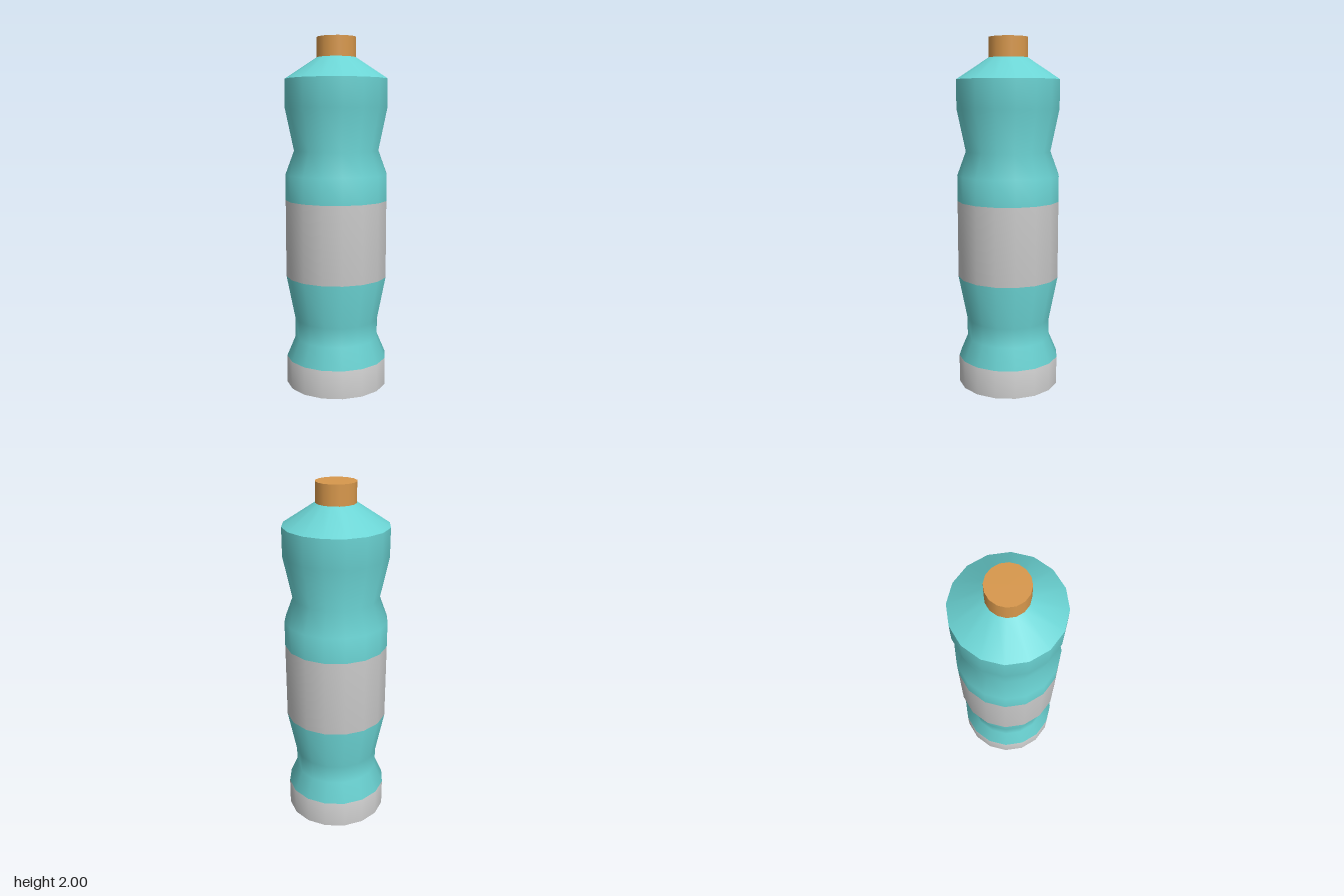
import * as THREE from 'three';

const SIDES = 16;
const R = 0.293;
const WAIST = 0.243;

const material = (color) => new THREE.MeshStandardMaterial({ color });
const lathe = (points) =>
  new THREE.LatheGeometry(points.map(([r, y]) => new THREE.Vector2(r, y)), SIDES);

// Keep only the rows from..to of a lathe, so bands share smooth normals
function sliceLathe(geometry, rows, from, to) {
  const band = geometry.clone();
  const index = Array.from(geometry.index.array);
  band.setIndex(index.filter((_, i) => {
    const row = Math.floor(i / 6) % rows;
    return row >= from && row < to;
  }));
  return band.toNonIndexed();
}

export function createModel() {
  const group = new THREE.Group();
  const teal = material(0x6bd4d4);
  const grey = material(0xcccccc);
  const orange = material(0xd8984c);

  const add = (name, geometry, mat) => {
    const mesh = new THREE.Mesh(geometry, mat);
    mesh.name = name;
    group.add(mesh);
    return mesh;
  };

  // Outer wall with two pinched waists
  const profile = [
    [R, 0], [R, 0.162], [WAIST, 0.28], [WAIST, 0.39], [R, 0.645],
    [R, 1.088], [R, 1.235], [WAIST, 1.37], [R, 1.61], [R, 1.77],
  ];
  const wall = lathe(profile);
  const bands = [
    ['baseBand', 0, 1, grey],
    ['lowerBody', 1, 4, teal],
    ['labelBand', 4, 5, grey],
    ['upperBody', 5, 9, teal],
  ];
  for (const [name, from, to, mat] of bands) {
    add(name, sliceLathe(wall, profile.length - 1, from, to), mat);
  }

  // Flat underside
  const bottom = add('bottom', new THREE.CircleGeometry(R, SIDES), grey);
  bottom.rotation.x = Math.PI / 2;

  // Sloped shoulder, with a hard edge where it meets the wall
  add('shoulder', lathe([[R, 1.77], [0.11, 1.89]]), teal);

  // Stopper
  const stopper = add('stopper', new THREE.CylinderGeometry(0.111, 0.111, 0.115, SIDES), orange);
  stopper.position.y = 2 - 0.115 / 2;

  return group;
}
